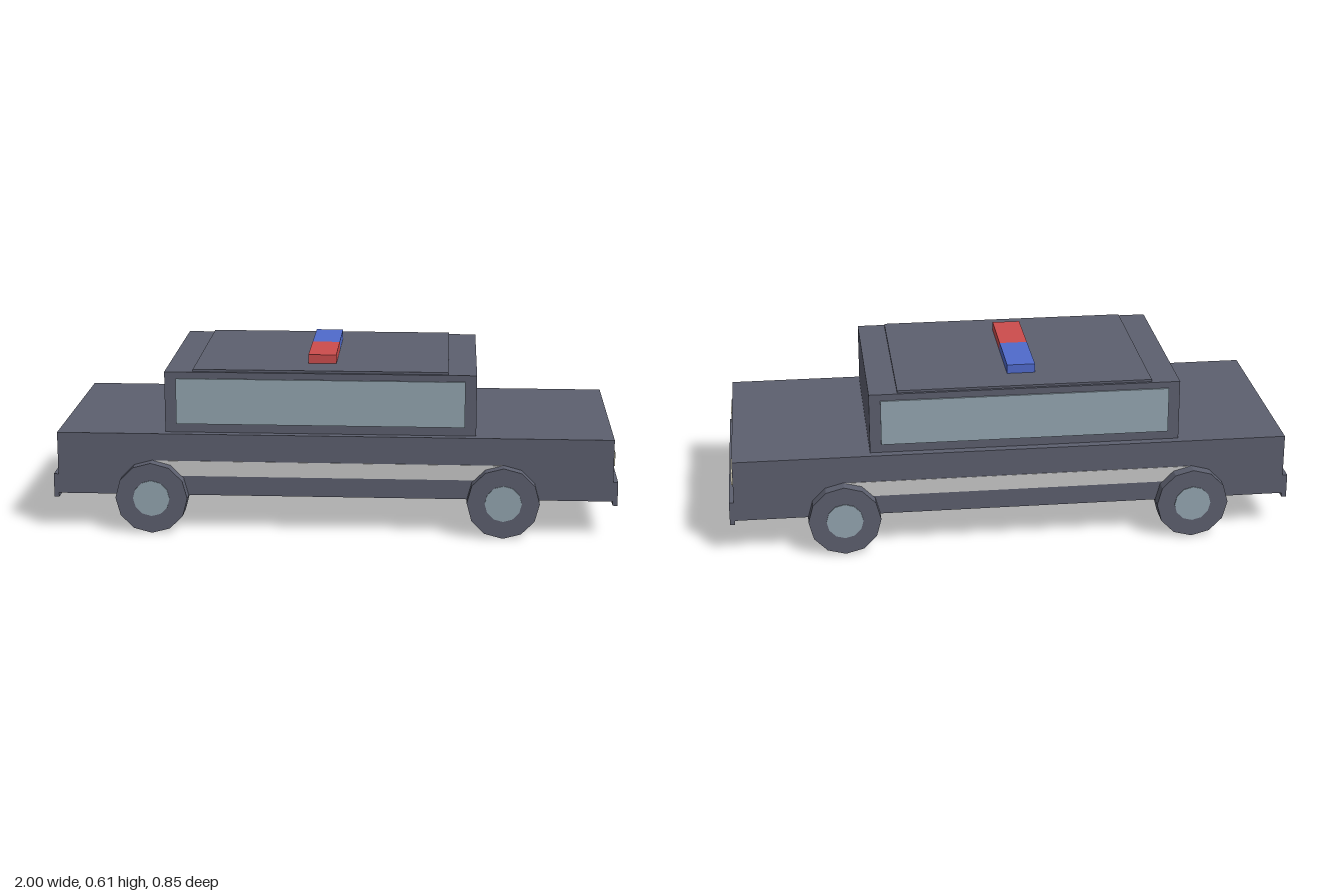
import * as THREE from 'three';

const mat = (name, color) => {
  const m = new THREE.MeshStandardMaterial({ color });
  m.name = name;
  return m;
};

export function createModel() {
  const car = new THREE.Group();
  car.name = 'patrolCar';

  const paint = mat('slateGrey', 0x5c5f6e);
  const glass = mat('paleBlueGrey', 0x93a5b0);
  const trim = mat('lightGrey', 0xc8c8c8);
  const cream = mat('cream', 0xcbc6b0);
  const red = mat('red', 0xcc4c4c);
  const blue = mat('blue', 0x4f6acb);

  // Box given by its min and max on each axis
  const box = (name, material, [x0, x1], [y0, y1], [z0, z1]) => {
    const mesh = new THREE.Mesh(new THREE.BoxGeometry(x1 - x0, y1 - y0, z1 - z0), material);
    mesh.position.set((x0 + x1) / 2, (y0 + y1) / 2, (z0 + z1) / 2);
    mesh.name = name;
    car.add(mesh);
  };
  const side = (s, a, b) => (s > 0 ? [a, b] : [-b, -a]);

  // Body, cabin and roof
  box('body', paint, [-0.983, 0.983], [0.13, 0.353], [-0.38, 0.38]);
  box('cabin', paint, [-0.6, 0.5], [0.353, 0.571], [-0.35, 0.35]);
  box('roofPanel', paint, [-0.5, 0.4], [0.571, 0.579], [-0.34, 0.34]);
  box('frontBumper', paint, [0.983, 1], [0.115, 0.2], [-0.38, 0.38]);
  box('rearBumper', paint, [-1, -0.983], [0.115, 0.2], [-0.38, 0.38]);

  // Light bar
  box('redBeacon', red, [-0.1, 0], [0.579, 0.611], [0, 0.222]);
  box('blueBeacon', blue, [-0.1, 0], [0.579, 0.611], [-0.222, 0]);

  // Windows, side trim, lamps and wheels, mirrored
  const tyreGeo = new THREE.CylinderGeometry(0.128, 0.128, 0.084, 12).rotateX(Math.PI / 2).toNonIndexed();
  tyreGeo.computeVertexNormals();
  const hubGeo = new THREE.CylinderGeometry(0.065, 0.065, 0.09, 12).rotateX(Math.PI / 2);

  for (const s of [1, -1]) {
    box('sideWindow', glass, [-0.56, 0.46], [0.384, 0.548], side(s, 0.348, 0.356));
    box('sideStripe', trim, [-0.64, 0.6], [0.2, 0.255], side(s, 0.376, 0.382));
    box('headlight', cream, [0.982, 0.99], [0.25, 0.297], side(s, 0.214, 0.34));
    box('tailLight', red, [-0.99, -0.982], [0.25, 0.297], side(s, 0.214, 0.34));

    for (const x of [-0.645, 0.598]) {
      const wheel = new THREE.Group();
      wheel.name = 'wheel';
      const tyre = new THREE.Mesh(tyreGeo, paint);
      tyre.name = 'tyre';
      const hub = new THREE.Mesh(hubGeo, glass);
      hub.name = 'hub';
      wheel.add(tyre, hub);
      wheel.position.set(x, 0.128, s * 0.382);
      car.add(wheel);
    }
  }
  return car;
}
